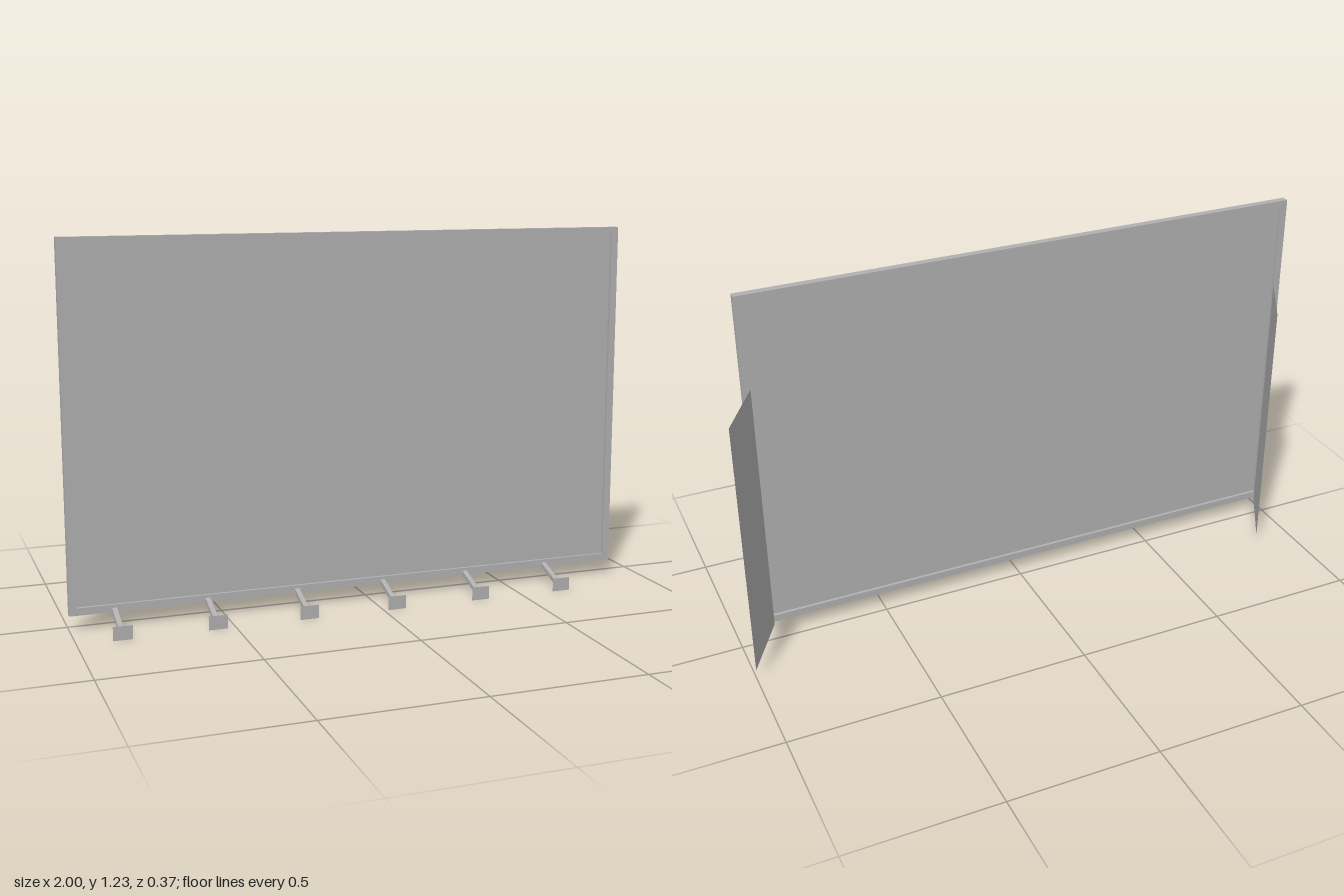
import * as THREE from 'three';

export function createModel() {
  const model = new THREE.Group();
  model.name = 'billboard';

  const grey = new THREE.MeshStandardMaterial({ color: 0xb0b0b0, side: THREE.DoubleSide });
  grey.name = 'grey metal';

  const add = (name, geometry, parent = model) => {
    const mesh = new THREE.Mesh(geometry, grey);
    mesh.name = name;
    parent.add(mesh);
    return mesh;
  };

  // Frame dimensions
  const left = -1, right = 0.905, bottom = 0.05, top = 1.226;
  const back = 0.025, front = 0.05, border = 0.024;

  const rectangle = (Type, x0, y0, x1, y1) => {
    const path = new Type();
    path.moveTo(x0, y0);
    path.lineTo(x1, y0);
    path.lineTo(x1, y1);
    path.lineTo(x0, y1);
    path.closePath();
    return path;
  };

  // Rectangular frame around the board
  const outline = rectangle(THREE.Shape, left, bottom, right, top);
  outline.holes.push(
    rectangle(THREE.Path, left + border, bottom + border, right - border, top - border));
  const frame = add('frame', new THREE.ExtrudeGeometry(outline,
    { depth: front - back, bevelEnabled: false }));
  frame.position.z = back;

  // Recessed display panel, set back from both faces of the frame
  const panel = add('panel', new THREE.BoxGeometry(
    right - left - 2 * border, top - bottom - 2 * border, 0.004));
  panel.position.set((left + right) / 2, (bottom + top) / 2, (front + back) / 2);

  // Two parallel slanted fins behind the frame
  const finDX = 0.12, finDZ = -0.208, finBottom = 0.04, finTop = 0.917;
  for (const [name, x] of [['rightFin', left + border], ['leftFin', right - border]]) {
    const fin = add(name, new THREE.PlaneGeometry(Math.hypot(finDX, finDZ), finTop - finBottom));
    fin.rotation.y = Math.atan2(-finDZ, finDX);
    fin.position.set(x + finDX / 2, (finBottom + finTop) / 2, back + finDZ / 2);
  }

  // Sloping lamp arms, each ending in a small flat plate
  const tip = 0.183, armWidth = 0.016, armHeight = 0.016;
  const armGeometry = new THREE.BoxGeometry(armWidth, armHeight, tip - front);
  const p = armGeometry.attributes.position;
  for (let i = 0; i < p.count; i++) {
    p.setY(i, p.getY(i) + (p.getZ(i) > 0 ? 0.012 : 0.056));
  }
  armGeometry.translate(0, 0, (front + tip) / 2);
  armGeometry.computeVertexNormals();
  const plateGeometry = new THREE.PlaneGeometry(0.062, 0.045);

  for (let i = 0; i < 6; i++) {
    const lamp = new THREE.Group();
    lamp.name = 'lamp' + (i + 1);
    lamp.position.x = -0.858 + i * 0.301;
    add('lampArm', armGeometry, lamp);
    add('lampPlate', plateGeometry, lamp).position.set(0, 0.0225, tip + 0.001);
    model.add(lamp);
  }

  return model;
}
